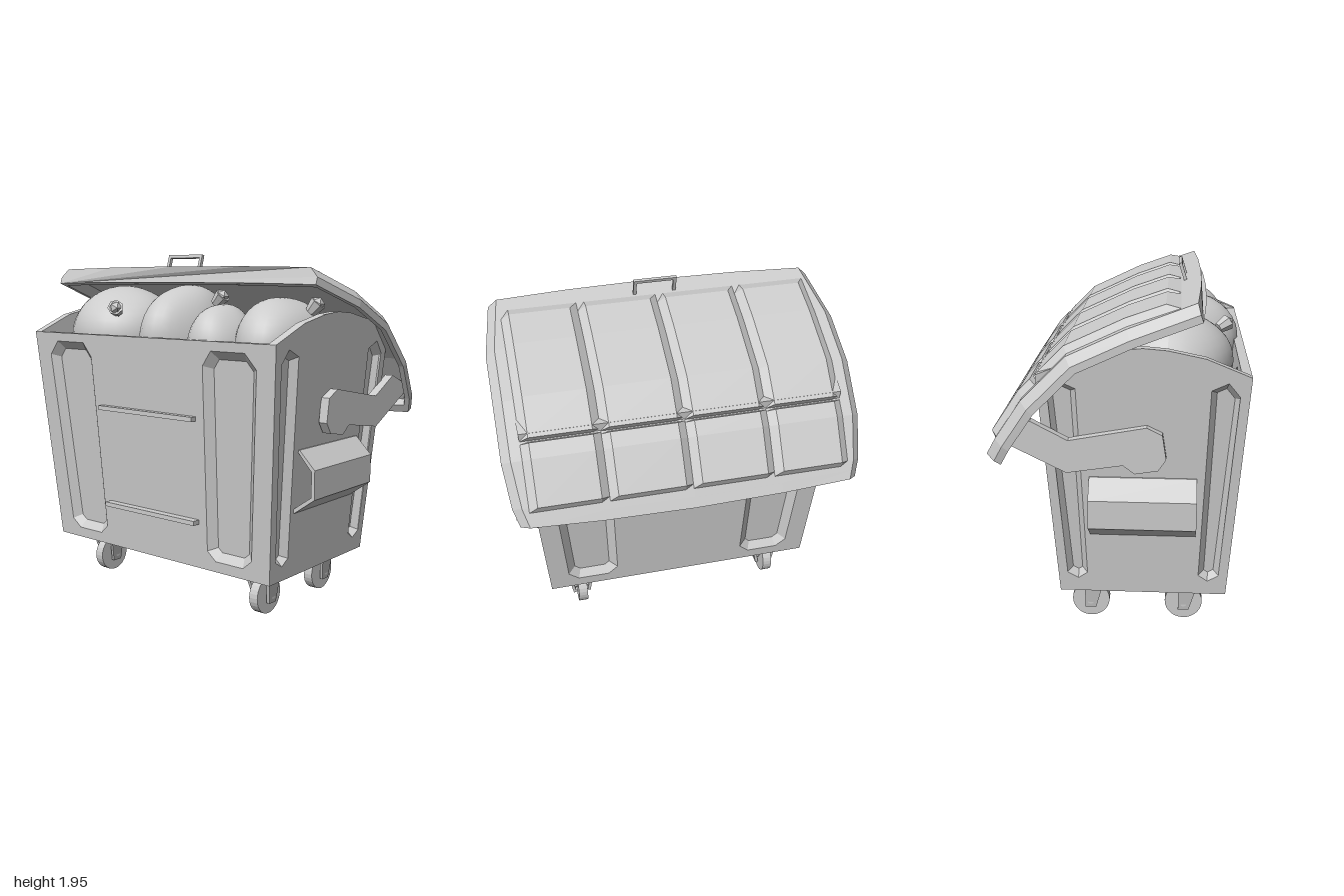
import * as THREE from 'three';

const GREY = 0xcccccc;
const V = (x, y, z) => new THREE.Vector3(x, y, z);
const flat = new THREE.MeshStandardMaterial({ color: GREY, flatShading: true });
const flatDouble = new THREE.MeshStandardMaterial({ color: GREY, flatShading: true, side: THREE.DoubleSide });
const smooth = new THREE.MeshStandardMaterial({ color: GREY });

function add(parent, name, geometry, material = flat, x = 0, y = 0, z = 0) {
  const mesh = new THREE.Mesh(geometry, material);
  mesh.name = name;
  mesh.position.set(x, y, z);
  parent.add(mesh);
  return mesh;
}

// Skin over a row of equal closed loops, with optional fan caps
function loft(loops, startCap = true, endCap = true) {
  const out = [], n = loops[0].length;
  const tri = (...pts) => pts.forEach(p => out.push(p.x, p.y, p.z));
  for (let i = 0; i < loops.length - 1; i++) for (let j = 0; j < n; j++) {
    const k = (j + 1) % n, A = loops[i], B = loops[i + 1];
    tri(A[j], A[k], B[k]);
    tri(A[j], B[k], B[j]);
  }
  const S = loops[0], E = loops[loops.length - 1];
  for (let j = 1; j < n - 1; j++) {
    if (startCap) tri(S[0], S[j + 1], S[j]);
    if (endCap) tri(E[0], E[j], E[j + 1]);
  }
  const g = new THREE.BufferGeometry();
  g.setAttribute('position', new THREE.Float32BufferAttribute(out, 3));
  g.computeVertexNormals();
  return g;
}

const shapeOf = pts => new THREE.Shape(pts.map(p => new THREE.Vector2(...p)));

// Plate with a [z, y] outline, its thickness centred on x = 0
function sidePlate(pts, thick) {
  const g = new THREE.ExtrudeGeometry(shapeOf(pts.map(([z, y]) => [-z, y])), { depth: thick, bevelEnabled: false });
  return g.translate(0, 0, -thick / 2).rotateY(Math.PI / 2);
}

// Moves every edge of a counter-clockwise convex outline inward by d
function inset(pts, d) {
  const v = pts.map(p => new THREE.Vector2(...p)), n = v.length;
  const normal = i => { const e = v[(i + 1) % n].clone().sub(v[i]).normalize(); return new THREE.Vector2(-e.y, e.x); };
  return v.map((p, i) => {
    const a = normal((i + n - 1) % n), b = normal(i), k = d / (1 + a.dot(b));
    return [p.x + (a.x + b.x) * k, p.y + (a.y + b.y) * k];
  });
}

const mirrored = (pts) => pts.map(([u, v]) => [-u, v]).reverse();

// Leaning wall with recessed bevelled channels, turned about the body axis
function wall(parent, name, outline, channels, bevel, offset, slope, turn) {
  const lean = new THREE.Matrix4().set(1, 0, 0, 0, 0, 1, 0, 0, 0, slope, 1, offset - slope * 0.25, 0, 0, 0, 1);
  const shape = shapeOf(outline);
  channels.forEach(c => shape.holes.push(new THREE.Path(c.map(p => new THREE.Vector2(...p)))));
  const g = new THREE.ExtrudeGeometry(shape, { depth: 0.05, bevelEnabled: false }).translate(0, 0, -0.05);
  add(parent, name, g.applyMatrix4(lean).rotateY(turn));
  channels.forEach(c => {
    const loops = [c.map(p => V(...p, 0)), inset(c, bevel).map(p => V(...p, -0.04))];
    add(parent, name + 'Channel', loft(loops, false).applyMatrix4(lean).rotateY(turn), flatDouble);
  });
}

function buildBody(root) {
  const body = new THREE.Group();
  body.name = 'body';
  body.position.z = 0.13;
  root.add(body);
  const wide = [[0.445, 0.31], [0.63, 0.31], [0.69, 0.36], [0.77, 1.37], [0.7, 1.45], [0.48, 1.45], [0.42, 1.37], [0.39, 0.36]];
  const narrow = [[0.3, 0.365], [0.35, 0.33], [0.41, 0.365], [0.49, 1.39], [0.425, 1.47], [0.34, 1.43]];
  const face = [[-0.8, 0.25], [0.8, 0.25], [0.895, 1.5], [-0.895, 1.5]];
  const side = [[-0.45, 0.25], [0.45, 0.25], [0.54, 1.5], [0.31, 1.595], [0.12, 1.635], [0, 1.645],
    [-0.12, 1.635], [-0.31, 1.595], [-0.54, 1.5]];
  // Folded sheet forming the lifting pocket on each side
  const pocket = [[0.84, 0.945], [0.86, 0.945], [0.955, 0.85], [0.955, 0.695], [0.83, 0.605], [0.81, 0.605],
    [0.815, 0.62], [0.935, 0.705], [0.935, 0.84]];
  [0, Math.PI].forEach((turn, i) => {
    wall(body, i ? 'backWall' : 'frontWall', face, [wide, mirrored(wide)], 0.045, 0.45, 0.072, turn);
    wall(body, i ? 'rightWall' : 'leftWall', side, [narrow, mirrored(narrow)], 0.03, 0.8, 0.076, turn + Math.PI / 2);
    const g = new THREE.ExtrudeGeometry(shapeOf(pocket), { depth: 0.56, bevelEnabled: false });
    add(body, 'liftingPocket', g.translate(0, 0, -0.28).rotateY(turn));
  });
  add(body, 'floor', new THREE.BoxGeometry(1.6, 0.03, 0.9), flat, 0, 0.265, 0);
  add(body, 'upperFrontRib', new THREE.BoxGeometry(0.71, 0.025, 0.05), flat, 0, 1.085, 0.52);
  add(body, 'lowerFrontRib', new THREE.BoxGeometry(0.68, 0.025, 0.05), flat, 0, 0.515, 0.49);
}

// Lid profile from front to back: z, y, half width
const PROFILE = [[0.39, 1.87, 0.95], [0.05, 1.75, 1], [-0.25, 1.61, 1], [-0.48, 1.38, 1], [-0.62, 1.17, 0.975], [-0.67, 1.08, 0.945]];
const NORMALS = PROFILE.map((p, i) => {
  const a = PROFILE[Math.max(i - 1, 0)], b = PROFILE[Math.min(i + 1, 5)];
  return new THREE.Vector2(b[1] - a[1], a[0] - b[0]).normalize();
});

function lidFrame(t) {
  const i = Math.min(Math.floor(t), 4), f = t - i;
  const [z, y, w] = PROFILE[i].map((v, k) => THREE.MathUtils.lerp(v, PROFILE[i + 1][k], f));
  const n = NORMALS[i].clone().lerp(NORMALS[i + 1], f).normalize();
  // x across, h above the surface, s along it toward the back
  return { w, at: (x, h, s = 0) => V(x, y + n.y * h + n.x * s, z + n.x * h - n.y * s) };
}

function buildLid(root) {
  const lid = new THREE.Group();
  lid.name = 'lid';
  root.add(lid);
  // Hollow shell with solid bowed lips: station, inner depth, bow
  const stations = [[0, 0.09, -0.035], [0.12, 0.09, -0.035], [0.13, 0.03, -0.035], [1, 0.03, 0], [2, 0.03, 0], [3, 0.03, 0],
    [4, 0.03, 0], [4.5, 0.03, 0.02], [4.52, 0.09, 0.02], [5, 0.09, 0.03]];
  const shell = stations.map(([t, deep, bow]) => {
    const { w, at } = lidFrame(t);
    const top = [[-w, -0.09], [-w, -0.05], [0.05 - w, 0], [-0.5, 0], [0, 0], [0.5, 0], [w - 0.05, 0], [w, -0.05], [w, -0.09]];
    const under = [[w - 0.03, -0.09], [w - 0.06, -deep], [0.5, -deep], [0, -deep], [-0.5, -deep], [0.06 - w, -deep], [0.03 - w, -0.09]];
    return [...top, ...under].map(([x, h]) => at(x, h, bow * (1 - (x / w) ** 2)));
  });
  add(lid, 'lidShell', loft(shell));
  // Raised panels in two rows of four
  const rows = [[0.23, 0.41, 1, 2, 2.66, 2.69], [2.71, 2.74, 3, 4, 4.25]];
  const edges = [-0.89, -0.46, 0, 0.46, 0.89];
  for (const row of rows) for (let b = 0; b < 4; b++) {
    const loops = row.map((t, i) => {
      const h = i === 0 || i === row.length - 1 ? 0 : 0.035, { at } = lidFrame(t);
      const l = edges[b], r = edges[b + 1];
      return [at(l, -0.01), at(l, 0), at(l + 0.045, h), at(r - 0.045, h), at(r, 0), at(r, -0.01)];
    });
    add(lid, 'lidPanel', loft(loops));
  }
  // Grip on the front lip
  const grip = new THREE.Group();
  grip.name = 'lidGrip';
  grip.position.set(0, 1.845, 0.335);
  grip.rotation.x = -0.3;
  lid.add(grip);
  for (const s of [-1, 1]) add(grip, 'gripPost', new THREE.BoxGeometry(0.018, 0.1, 0.018), flat, s * 0.116, 0.045, 0);
  add(grip, 'gripBar', new THREE.BoxGeometry(0.25, 0.018, 0.018), flat, 0, 0.095, 0);
  // Cranked arms joining lid and body
  const arm = [[0.25, 1.07], [0.21, 1.01], [0.09, 0.99], [0.03, 1.035], [-0.26, 0.99], [-0.58, 1.15], [-0.55, 1.22],
    [-0.44, 1.265], [-0.25, 1.165], [0.15, 1.24], [0.23, 1.2]];
  for (const s of [-1, 1]) add(lid, 'hingeArm', sidePlate(arm.reverse(), 0.05), flat, s * 0.895, 0, 0);
}

function buildCasters(root) {
  const leg = [[0.075, 0.085], [-0.03, 0.085], [-0.03, -0.085], [0.03, -0.085]];
  for (const x of [-0.605, 0.605]) for (const z of [0.355, -0.17]) {
    const caster = new THREE.Group();
    caster.name = 'caster';
    caster.position.set(x, 0, z);
    root.add(caster);
    add(caster, 'wheel', new THREE.CylinderGeometry(0.105, 0.105, 0.055, 28).rotateZ(Math.PI / 2), flat, 0, 0.105, 0);
    add(caster, 'axle', new THREE.CylinderGeometry(0.018, 0.018, 0.12, 10).rotateZ(Math.PI / 2), flat, 0, 0.105, 0);
    add(caster, 'mountPlate', new THREE.BoxGeometry(0.21, 0.016, 0.2), flat, 0, 0.243, 0.02);
    add(caster, 'forkTop', new THREE.BoxGeometry(0.16, 0.02, 0.1), flat, 0, 0.227, 0.022);
    for (const s of [-1, 1]) add(caster, 'forkLeg', sidePlate(leg, 0.018), flat, s * 0.06, 0.15, 0).rotation.z = -s * 0.18;
  }
}

function buildBags(root) {
  // Centre, radii, knot position
  const bags = [
    [[-0.53, 1.49, 0.25], [0.335, 0.275, 0.35], [-0.33, 1.64, 0.54]],
    [[0, 1.48, 0.3], [0.22, 0.3, 0.34], [0.22, 1.7, 0.28]],
    [[0.355, 1.45, 0.42], [0.18, 0.23, 0.21], null],
    [[0.65, 1.47, 0.27], [0.215, 0.25, 0.31], [0.81, 1.665, 0.22]],
  ];
  bags.forEach(([c, r, knot], k) => {
    const g = new THREE.SphereGeometry(1, 32, 20), p = g.attributes.position;
    for (let i = 0; i < p.count; i++) {
      const v = V(0, 0, 0).fromBufferAttribute(p, i);
      v.multiplyScalar(1 + 0.025 * Math.sin(4 * v.x + k) * Math.cos(3 * v.y - k) + 0.02 * Math.sin(5 * v.z + 2 * v.y + k));
      p.setXYZ(i, v.x * r[0], v.y * r[1], v.z * r[2]);
    }
    g.computeVertexNormals();
    add(root, 'rubbishBag', g, smooth, ...c);
    if (!knot) return;
    const tie = add(root, 'bagKnot', new THREE.CylinderGeometry(0.045, 0.03, 0.07, 7), flat, ...knot);
    tie.quaternion.setFromUnitVectors(V(0, 1, 0), V(...knot).sub(V(...c)).normalize());
    const tip = add(root, 'bagKnotTip', new THREE.IcosahedronGeometry(0.04, 0), flat, ...knot);
    tip.translateOnAxis(V(...knot).sub(V(...c)).normalize(), 0.025);
  });
}

export function createModel() {
  const root = new THREE.Group();
  root.name = 'wasteContainer';
  buildBody(root);
  buildLid(root);
  buildCasters(root);
  buildBags(root);
  return root;
}
